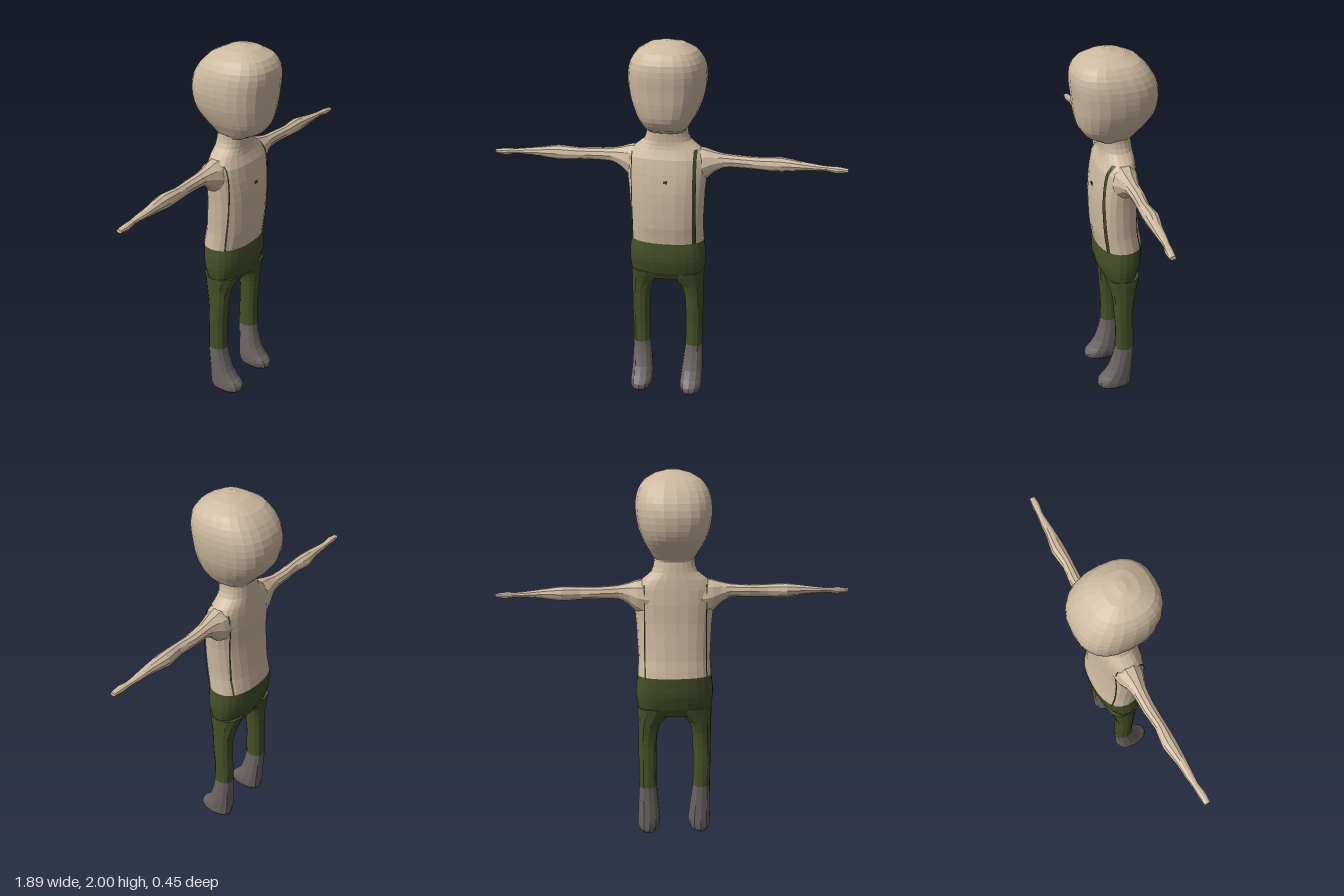
import * as THREE from 'three';

const material = (name, color, side = THREE.FrontSide) => {
  const m = new THREE.MeshStandardMaterial({ color, flatShading: true, side });
  m.name = name;
  return m;
};

// Section: [position, aMin, aMax, bMin, bMax]. Inserts smooth in-between sections.
function refine(sections, steps) {
  const out = [], last = sections.length - 1;
  for (let i = 0; i < last; i++) {
    const [p0, p1, p2, p3] = [i - 1, i, i + 1, i + 2].map(k => sections[Math.min(last, Math.max(0, k))]);
    for (let s = 0; s < steps; s++) {
      const t = s / steps;
      out.push(p1.map((v, k) => k === 0 ? v + (p2[0] - v) * t :
        0.5 * (2 * v + (p2[k] - p0[k]) * t + (2 * p0[k] - 5 * v + 4 * p2[k] - p3[k]) * t * t
          + (3 * v - p0[k] - 3 * p2[k] + p3[k]) * t * t * t)));
    }
  }
  out.push(sections[last]);
  return out;
}

// Closed loft of rounded sections. axis 'y': a = x, b = z. axis 'x': a = z, b = y.
function loft(sections, { axis = 'y', sides = 18, power = 2.3, steps = 2 } = {}) {
  const rows = refine(sections, steps), pos = [], idx = [];
  const put = (p, a, b) => axis === 'y' ? pos.push(a, p, b) : pos.push(p, b, a);
  const bend = v => Math.sign(v) * Math.abs(v) ** (2 / power);
  for (const [p, a0, a1, b0, b1] of rows) {
    for (let j = 0; j < sides; j++) {
      const t = j / sides * Math.PI * 2;
      put(p, (a0 + a1) / 2 + (a1 - a0) / 2 * bend(Math.cos(t)), (b0 + b1) / 2 + (b1 - b0) / 2 * bend(Math.sin(t)));
    }
  }
  const n = rows.length, top = (n - 1) * sides;
  for (const [p, a0, a1, b0, b1] of [rows[0], rows[n - 1]]) put(p, (a0 + a1) / 2, (b0 + b1) / 2);
  for (let j = 0; j < sides; j++) {
    const k = (j + 1) % sides;
    for (let i = 0; i < n - 1; i++) {
      const r = i * sides, s = r + sides;
      idx.push(r + j, s + j, r + k, r + k, s + j, s + k);
    }
    idx.push(n * sides, j, k, n * sides + 1, top + k, top + j);
  }
  const g = new THREE.BufferGeometry();
  g.setAttribute('position', new THREE.Float32BufferAttribute(pos, 3));
  g.setIndex(idx);
  g.computeVertexNormals();
  return g;
}

const TORSO = [
  [0.91, -0.2, 0.2, -0.14, 0.105], [1.0, -0.195, 0.195, -0.125, 0.12],
  [1.1, -0.2, 0.2, -0.115, 0.125], [1.2, -0.205, 0.205, -0.107, 0.125],
  [1.3, -0.215, 0.215, -0.105, 0.115], [1.38, -0.212, 0.212, -0.1, 0.1],
  [1.43, -0.175, 0.175, -0.095, 0.08], [1.47, -0.125, 0.125, -0.09, 0.075],
  [1.52, -0.11, 0.11, -0.085, 0.08], [1.57, -0.11, 0.11, -0.08, 0.08],
];
const HEAD = [
  [1.525, -0.1, 0.1, -0.085, 0.1], [1.55, -0.115, 0.118, -0.105, 0.15],
  [1.6, -0.145, 0.148, -0.155, 0.188], [1.65, -0.167, 0.172, -0.195, 0.202],
  [1.7, -0.184, 0.19, -0.215, 0.21], [1.77, -0.196, 0.203, -0.224, 0.216],
  [1.84, -0.195, 0.205, -0.21, 0.223], [1.9, -0.18, 0.19, -0.175, 0.218],
  [1.95, -0.145, 0.155, -0.125, 0.185], [1.985, -0.085, 0.095, -0.05, 0.12],
  [2.0, -0.025, 0.035, 0.02, 0.06],
];
const HIPS = [
  [0.685, -0.185, 0.185, -0.085, 0.06], [0.73, -0.2, 0.2, -0.108, 0.085],
  [0.8, -0.21, 0.21, -0.13, 0.105], [0.86, -0.207, 0.207, -0.137, 0.108],
  [0.91, -0.2, 0.2, -0.14, 0.105],
];
const LEG = [
  [0.275, 0.1, 0.197, -0.073, 0.034], [0.4, 0.102, 0.198, -0.07, 0.032],
  [0.5, 0.1, 0.2, -0.066, 0.04], [0.58, 0.094, 0.2, -0.072, 0.045],
  [0.64, 0.075, 0.2, -0.085, 0.054], [0.68, 0.035, 0.202, -0.095, 0.066],
  [0.73, 0.005, 0.203, -0.11, 0.082],
];
const BOOT = [
  [0, 0.105, 0.185, -0.045, 0.11], [0.018, 0.088, 0.2, -0.058, 0.132],
  [0.05, 0.08, 0.203, -0.063, 0.134], [0.085, 0.08, 0.203, -0.064, 0.1],
  [0.13, 0.084, 0.202, -0.065, 0.07], [0.2, 0.092, 0.2, -0.068, 0.047],
  [0.275, 0.1, 0.197, -0.073, 0.034],
];
const ARM = [
  [0.14, -0.085, 0.07, 1.22, 1.435], [0.2, -0.078, 0.06, 1.25, 1.427],
  [0.245, -0.06, 0.043, 1.295, 1.413], [0.3, -0.05, 0.028, 1.325, 1.4],
  [0.4, -0.048, 0.022, 1.328, 1.393], [0.5, -0.037, 0.025, 1.325, 1.393],
  [0.6, -0.05, 0.028, 1.32, 1.397], [0.7, -0.032, 0.024, 1.333, 1.383],
  [0.78, -0.026, 0.02, 1.338, 1.372], [0.84, -0.018, 0.016, 1.34, 1.366],
  [0.89, -0.016, 0.026, 1.332, 1.368], [0.945, -0.01, 0.022, 1.34, 1.36],
];

// Mirrors sections across x = 0 while keeping the winding
const mirrorX = s => s.map(([p, a0, a1, b0, b1]) => [p, -a1, -a0, b0, b1]);
const mirrorAxis = s => s.map(([p, ...r]) => [-p, ...r]).reverse();

// Thin ribbon lying on the torso, running upward between two x values
function strap(xAt, width, face, yMax) {
  const rows = refine(TORSO, 2).filter(r => r[0] <= yMax), pos = [], idx = [];
  rows.forEach(([y, x0, x1, z0, z1], i) => {
    for (const e of [-0.5, 0.5]) {
      const x = xAt + Math.sign(xAt) * e * width, rx = (x1 - x0) / 2 + 0.004;
      const depth = (1 - Math.min(1, Math.abs(x) / rx) ** 2.3) ** (1 / 2.3);
      pos.push(x, y, (z0 + z1) / 2 + face * ((z1 - z0) / 2 + 0.006) * depth);
    }
    if (i) idx.push(2 * i - 2, 2 * i - 1, 2 * i, 2 * i, 2 * i - 1, 2 * i + 1);
  });
  const g = new THREE.BufferGeometry();
  g.setAttribute('position', new THREE.Float32BufferAttribute(pos, 3));
  g.setIndex(idx);
  g.computeVertexNormals();
  return g;
}

export function createModel() {
  const skin = material('skin', 0xcdb9a0);
  const green = material('trouser green', 0x454f28);
  const strapGreen = material('strap green', 0x3c4526, THREE.DoubleSide);
  const grey = material('boot grey', 0x6a6462);
  const group = new THREE.Group();
  group.name = 'figure';
  const add = (name, geometry, mat) => {
    const mesh = new THREE.Mesh(geometry, mat);
    mesh.name = name;
    group.add(mesh);
    return mesh;
  };

  // Body
  add('head', loft(HEAD, { sides: 24, power: 2.5 }), skin);
  add('torso', loft(TORSO, { sides: 24 }), skin);
  add('hips', loft(HIPS, { sides: 24 }), green);

  // Limbs
  for (const [side, left] of [['left', true], ['right', false]]) {
    add(side + 'Arm', loft(left ? ARM : mirrorAxis(ARM), { axis: 'x', sides: 10, power: 2 }), skin);
    add(side + 'Leg', loft(left ? LEG : mirrorX(LEG), { sides: 12 }), green);
    add(side + 'Boot', loft(left ? BOOT : mirrorX(BOOT), { sides: 12 }), grey);
  }

  // Straps and navel
  add('leftFrontStrap', strap(0.158, 0.018, 1, 1.43), strapGreen);
  add('leftBackStrap', strap(0.165, 0.007, -1, 1.41), strapGreen);
  add('rightFrontStrap', strap(-0.18, 0.006, 1, 1.41), strapGreen);
  add('rightBackStrap', strap(-0.165, 0.006, -1, 1.41), strapGreen);
  add('navel', new THREE.BoxGeometry(0.02, 0.014, 0.008), strapGreen).position.set(0.01, 1.265, 0.119);

  return group;
}
